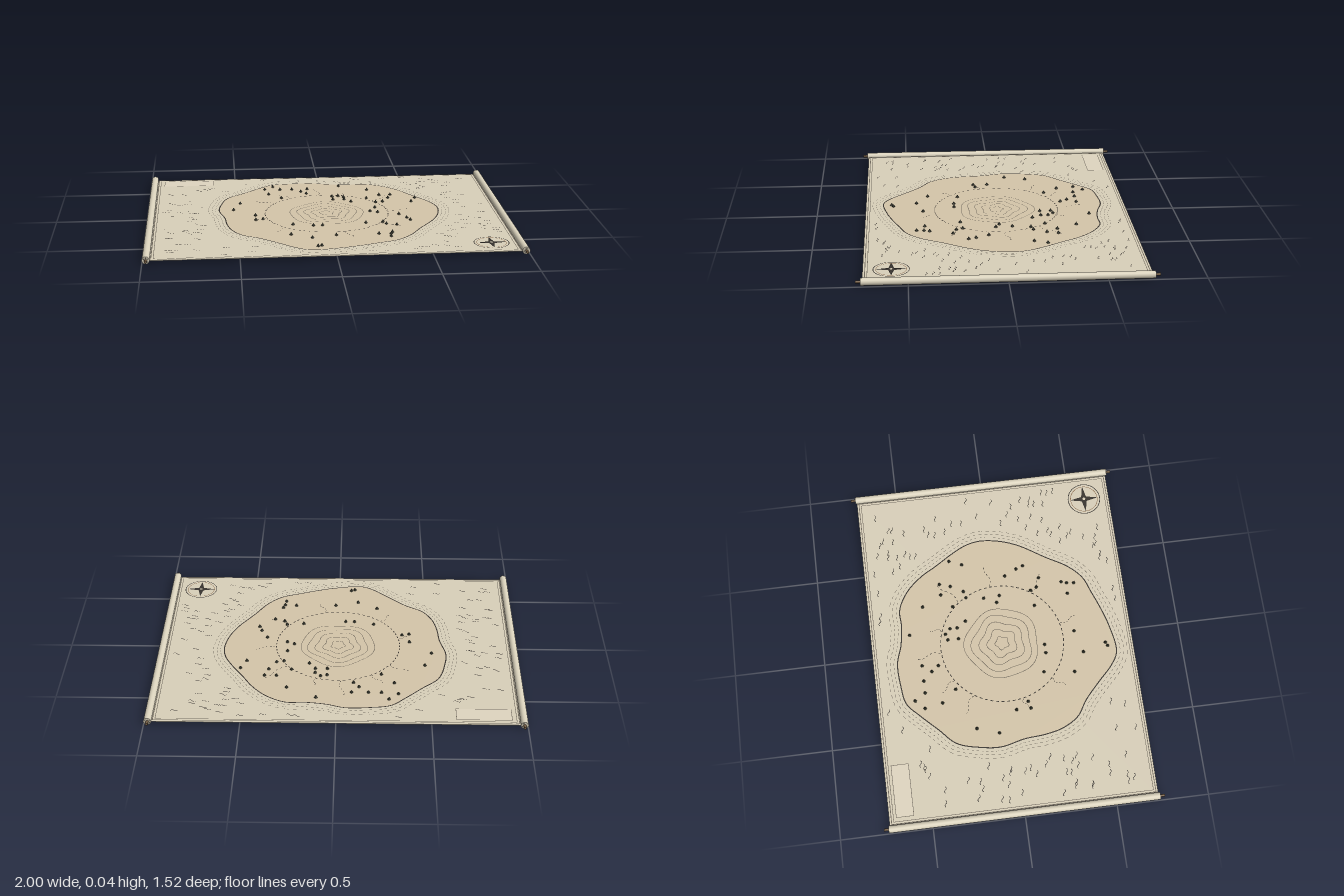
import * as THREE from 'three';
import { mergeGeometries } from 'three/addons/utils/BufferGeometryUtils.js';

const TOP = 0.016; // upper face of the sheet
const paint = (color, extra = {}) => new THREE.MeshStandardMaterial({ color, roughness: 0.9, ...extra });
const V = (x, z) => new THREE.Vector2(x, z);

// Coast of the island as x, z pairs, clockwise from the east
const COAST = [
  .635, -.05, .62, .06, .58, .165, .485, .315, .415, .43, .335, .505, .245, .54, .135, .58, .03, .61,
  -.13, .63, -.205, .59, -.29, .51, -.39, .42, -.48, .36, -.535, .27, -.56, .165, -.57, .055, -.6, -.08,
  -.59, -.185, -.55, -.32, -.46, -.41, -.365, -.505, -.29, -.57, -.185, -.59, -.05, -.595, .055, -.565,
  .165, -.55, .27, -.55, .375, -.495, .455, -.41, .51, -.32, .58, -.21, .62, -.13];

// Tree positions as x, z pairs
const TREES = [
  -.28, -.52, -.33, -.47, -.24, -.46, -.17, -.46, -.08, -.46, -.12, -.41, -.09, -.37, -.31, -.37, -.24, -.29,
  -.48, -.2, -.52, -.08, -.4, .03, -.4, .11, -.36, .1, -.2, .21, -.09, .235, -.04, .235, -.22, .38, -.11, .445,
  .02, .41, -.07, .575, -.09, .585, .11, -.51, .27, -.42, .09, -.31, .12, -.28, .055, -.3, .055, -.24, .12, -.24,
  .155, -.19, .25, -.25, .33, -.31, .395, -.31, .375, -.25, .335, -.18, .295, -.17, .53, -.24, .5, -.17,
  .28, -.07, .245, 0, .285, .02, .4, .065, .435, .135, .45, .175, .295, .2, .31, .235, .365, .255, .2, .21,
  .25, .405, .325, .38, .315, .41, .31, .45];

const pairs = (list) => Array.from({ length: list.length / 2 }, (_, i) => V(list[2 * i], list[2 * i + 1]));

// Flat ink line through points; dashed lines skip every other segment
function stroke(points, width, { closed = false, dashed = false, y = TOP + 0.002 } = {}) {
  const pos = [], count = closed ? points.length : points.length - 1;
  for (let i = 0; i < count; i += dashed ? 2 : 1) {
    const p = points[i].clone(), q = points[(i + 1) % points.length].clone();
    const d = q.clone().sub(p).setLength(width / 2);
    if (!dashed) { p.sub(d); q.add(d); }
    const corner = (c, s) => [c.x - d.y * s, y, c.y + d.x * s];
    const a = corner(p, 1), b = corner(q, 1), c = corner(q, -1), e = corner(p, -1);
    pos.push(...a, ...b, ...c, ...a, ...c, ...e);
  }
  const g = new THREE.BufferGeometry();
  g.setAttribute('position', new THREE.Float32BufferAttribute(pos, 3));
  g.computeVertexNormals();
  return g;
}

const loop = (count, radius, cx = 0, cz = 0) => Array.from({ length: count }, (_, i) => {
  const a = i / count * Math.PI * 2, r = typeof radius === 'function' ? radius(a) : radius;
  return V(cx + Math.cos(a) * r, cz + Math.sin(a) * r);
});
const rect = (x0, z0, x1, z1) => [V(x0, z0), V(x1, z0), V(x1, z1), V(x0, z1)];

// Flat filled area
function fill(points, y) {
  const g = new THREE.ShapeGeometry(new THREE.Shape(points.map((p) => V(p.x, -p.y))));
  return g.rotateX(-Math.PI / 2).translate(0, y, 0);
}

export function createModel() {
  const model = new THREE.Group();
  const paper = paint(0xd9d0ba), roll = paint(0xdcd4be), land = paint(0xd5c6aa);
  const wood = paint(0x7a6248), leaf = paint(0x45483a, { flatShading: true });
  const ink = paint(0x37332e, { side: THREE.DoubleSide });
  const faint = paint(0x6e665a, { side: THREE.DoubleSide });
  const add = (name, geometry, material, parent = model) => {
    const m = new THREE.Mesh(geometry, material);
    m.name = name;
    parent.add(m);
    return m;
  };

  // Sheet and its rolled ends on wooden rods
  add('sheet', new THREE.BoxGeometry(1.96, 0.002, 1.46).translate(0, TOP - 0.001, 0), paper);
  for (const s of [1, -1]) {
    const scroll = new THREE.Group();
    scroll.name = s > 0 ? 'leftScroll' : 'rightScroll';
    scroll.position.set(s * 0.98, 0.02, 0);
    model.add(scroll);
    add('paperRoll', new THREE.CylinderGeometry(0.02, 0.02, 1.474, 24).rotateX(Math.PI / 2), roll, scroll);
    add('rod', new THREE.CylinderGeometry(0.007, 0.007, 1.525, 16).rotateX(Math.PI / 2), wood, scroll);
    for (const e of [1, -1]) {
      add('rollEdge', new THREE.TorusGeometry(0.013, 0.0008, 4, 24).translate(0, 0, e * 0.737), faint, scroll);
    }
  }

  // Double border
  add('border', mergeGeometries([
    stroke(rect(-0.955, -0.718, 0.955, 0.718), 0.004, { closed: true }),
    stroke(rect(-0.943, -0.706, 0.943, 0.706), 0.003, { closed: true }),
  ]), faint);

  // Island with its coast and dashed shallows
  const coast = new THREE.CatmullRomCurve3(pairs(COAST).map((p) => new THREE.Vector3(p.x, 0, p.y)), true);
  const around = (count, offset) => Array.from({ length: count }, (_, i) => {
    const p = coast.getPointAt(i / count), t = coast.getTangentAt(i / count);
    return V(p.x + t.z * offset, p.z - t.x * offset);
  });
  const shore = around(200, 0);
  add('island', fill(shore, TOP + 0.001), land);
  add('coastLine', stroke(shore, 0.006, { closed: true }), ink);
  add('shallows', mergeGeometries([0.02, 0.04, 0.06].map((o, i) =>
    stroke(around(300 - i * 40, o), 0.0025, { closed: true, dashed: true }))), faint);

  // Hill contours, more lobed toward the summit
  add('contours', mergeGeometries([0.205, 0.165, 0.122, 0.08, 0.037].map((r, i) =>
    stroke(loop(100, (a) => r * (1 + (0.035 + 0.025 * i) * Math.cos(5 * a + 1.4 + i * 0.15)
      + 0.02 * Math.sin(3 * a + i))), 0.003, { closed: true }))), faint);

  // Dashed ring road with paths leading outward
  const paths = [[-1.63, .48], [-2.15, .44], [-2.55, .46], [-1.25, .41], [-0.67, .51],
    [-0.08, .47], [0.62, .47], [1.34, .44], [2.33, .43], [2.92, .4]];
  add('roads', mergeGeometries([
    stroke(loop(140, 0.345), 0.005, { closed: true, dashed: true }),
    ...paths.map(([a, end]) => stroke(Array.from({ length: 12 }, (_, i) => {
      const r = 0.35 + (end - 0.35) * i / 11, b = a + 0.03 * Math.sin(i * 0.5);
      return V(Math.cos(b) * r, Math.sin(b) * r);
    }), 0.003, { dashed: true })),
  ]), ink);

  // Trees: cone crowns on short trunks
  const trees = new THREE.Group();
  trees.name = 'trees';
  model.add(trees);
  const crown = new THREE.ConeGeometry(0.0095, 0.016, 6), trunk = new THREE.CylinderGeometry(0.003, 0.003, 0.006, 5);
  for (const p of pairs(TREES)) {
    add('treeCrown', crown, leaf, trees).position.set(p.x, TOP + 0.013, p.y);
    add('treeTrunk', trunk, wood, trees).position.set(p.x, TOP + 0.003, p.y);
  }

  // Small wave marks scattered over the sea
  let seed = 11;
  const rnd = () => (seed = (seed * 16807) % 2147483647) / 2147483647;
  const waves = [];
  for (let tries = 0; waves.length < 110 && tries < 2000; tries++) {
    const c = V((rnd() * 2 - 1) * 0.9, (rnd() * 2 - 1) * 0.68);
    const blocked = c.length() < 0.6 || shore.some((p) => p.distanceTo(c) < 0.1)
      || c.distanceTo(V(0.82, 0.585)) < 0.14 || (c.x < -0.58 && c.y < -0.56);
    if (blocked) continue;
    const tilt = (rnd() - 0.3) * 0.4;
    waves.push(stroke(Array.from({ length: 9 }, (_, i) => {
      const u = i / 8 - 0.5;
      return V(c.x + u * 0.036, c.y + Math.sin(u * Math.PI * 2) * 0.005 + u * 0.036 * tilt);
    }), 0.003));
  }
  add('waves', mergeGeometries(waves), ink);

  // Blank title panel
  const panel = rect(-0.92, -0.69, -0.63, -0.595);
  add('titlePanel', fill(panel, TOP + 0.001), paint(0xdfd6c0));
  add('titleFrame', stroke(panel, 0.003, { closed: true }), faint);

  // Compass: two rings and a four-pointed star
  const compass = new THREE.Group();
  compass.name = 'compass';
  compass.position.set(0.825, 0, 0.585);
  model.add(compass);
  add('outerRing', stroke(loop(64, 0.092), 0.004, { closed: true }), ink, compass);
  add('innerRing', stroke(loop(64, 0.078), 0.003, { closed: true }), paint(0x8a6a4c, { side: THREE.DoubleSide }), compass);
  const star = Array.from({ length: 8 }, (_, i) => {
    const a = i * Math.PI / 4, r = i % 2 ? 0.02 : 0.08;
    return V(Math.cos(a) * r, Math.sin(a) * r);
  });
  add('compassStar', fill(star, TOP + 0.003), ink, compass);
  add('compassHub', fill(loop(20, 0.008), TOP + 0.004), paper, compass);

  return model;
}
